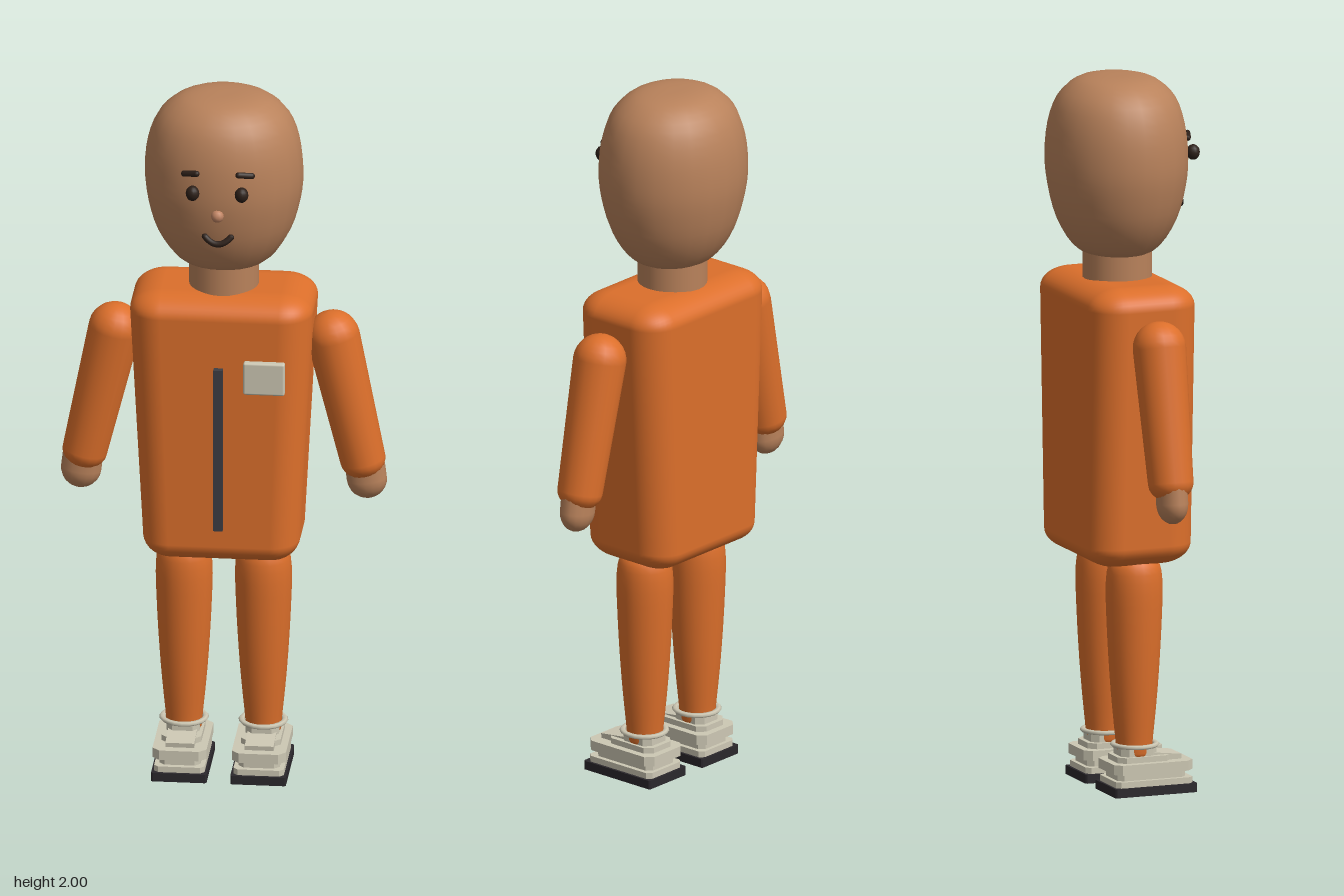
import * as THREE from 'three';
import { RoundedBoxGeometry } from 'three/addons/geometries/RoundedBoxGeometry.js';

const mat = (name, color) => {
  const m = new THREE.MeshStandardMaterial({ color });
  m.name = name;
  return m;
};

export function createModel() {
  const skin = mat('skin', 0xb9825b);
  const orange = mat('orange suit', 0xdc6f2b);
  const cream = mat('cream', 0xcdc8b4);
  const zip = mat('zip grey', 0x3d3d43);
  const rubber = mat('sole black', 0x2b282c);
  const dark = mat('dark brown', 0x2c1f18);
  const nosePink = mat('nose', 0xc08463);

  const model = new THREE.Group();
  model.name = 'figure';

  const add = (parent, name, geo, material, x = 0, y = 0, z = 0) => {
    const mesh = new THREE.Mesh(geo, material);
    mesh.name = name;
    mesh.position.set(x, y, z);
    parent.add(mesh);
    return mesh;
  };

  // Smooth lathe through [radius, height] points
  const lathe = (pts, divisions, sides) => {
    const curve = new THREE.SplineCurve(pts.map(([r, y]) => new THREE.Vector2(r, y)));
    const profile = curve.getPoints(divisions);
    profile.forEach((p) => { p.x = Math.max(p.x, 0); });
    return new THREE.LatheGeometry(profile, sides);
  };

  // Flat slab with chamfered corners in plan, from y0 to y1 and z0 to z1
  const slab = (halfW, z0, z1, y0, y1, c) => {
    const s = new THREE.Shape();
    s.moveTo(-halfW + c, -z1);
    s.lineTo(halfW - c, -z1);
    s.lineTo(halfW, -z1 + c);
    s.lineTo(halfW, -z0 - c);
    s.lineTo(halfW - c, -z0);
    s.lineTo(-halfW + c, -z0);
    s.lineTo(-halfW, -z0 - c);
    s.lineTo(-halfW, -z1 + c);
    s.closePath();
    return new THREE.ExtrudeGeometry(s, { depth: y1 - y0, bevelEnabled: false })
      .rotateX(-Math.PI / 2).translate(0, y0, 0);
  };

  // Head, flattened slightly front to back
  const head = add(model, 'head', lathe([
    [0, 1.495], [0.08, 1.498], [0.135, 1.525], [0.185, 1.6], [0.212, 1.69], [0.22, 1.77],
    [0.211, 1.86], [0.182, 1.935], [0.13, 1.982], [0.07, 1.998], [0, 2],
  ], 30, 24), skin, 0, 0, -0.013);
  head.scale.z = 0.89;
  add(model, 'neck', new THREE.CylinderGeometry(0.097, 0.097, 0.13, 24), skin, 0, 1.475, -0.01);

  // Face
  const face = new THREE.Group();
  face.name = 'face';
  model.add(face);
  for (const s of [-1, 1]) {
    const eye = add(face, 'eye', new THREE.SphereGeometry(0.019, 14, 10), dark, s * 0.068, 1.778, 0.188);
    eye.scale.y = 1.15;
    const brow = add(face, 'eyebrow', new THREE.CapsuleGeometry(0.009, 0.038, 4, 8).rotateZ(Math.PI / 2),
      dark, s * 0.076, 1.828, 0.168);
    brow.rotation.set(0, s * 0.35, -s * 0.16);
  }
  add(face, 'nose', new THREE.SphereGeometry(0.018, 12, 8), nosePink, 0, 1.708, 0.178);
  const smile = new THREE.QuadraticBezierCurve3(
    new THREE.Vector3(-0.036, 1.64, 0.163),
    new THREE.Vector3(0, 1.603, 0.182),
    new THREE.Vector3(0.036, 1.64, 0.163));
  add(face, 'mouth', new THREE.TubeGeometry(smile, 14, 0.009, 8), dark);
  for (const p of [smile.v0, smile.v2]) {
    add(face, 'mouthCorner', new THREE.SphereGeometry(0.009, 8, 6), dark, p.x, p.y, p.z);
  }

  // Torso: rounded block narrowing towards the hips
  const torso = new RoundedBoxGeometry(0.51, 1.2, 0.312, 5, 0.09).scale(1, 0.79 / 1.2, 1);
  const pos = torso.attributes.position;
  for (let i = 0; i < pos.count; i++) {
    const t = pos.getY(i) / 0.79 + 0.5;
    pos.setX(i, pos.getX(i) * (0.84 + 0.16 * Math.min(1, t * 1.05)));
  }
  add(model, 'torso', torso, orange, 0, 1.04, -0.01);
  add(model, 'zip', new THREE.BoxGeometry(0.026, 0.48, 0.024), zip, 0, 1.0, 0.153);
  add(model, 'chestPatch', new RoundedBoxGeometry(0.115, 0.095, 0.024, 2, 0.006), cream, 0.127, 1.217, 0.152);

  for (const s of [-1, 1]) {
    // Arm: tapered sleeve with round ends, hand at its tip
    const arm = new THREE.Group();
    arm.name = s > 0 ? 'leftArm' : 'rightArm';
    arm.position.set(s * 0.303, 1.285, -0.008);
    arm.rotation.z = s * 0.222;
    model.add(arm);
    const sleeve = [];
    for (let i = 0; i <= 6; i++) {
      const a = (i / 6) * Math.PI / 2;
      sleeve.push(new THREE.Vector2(Math.sin(a) * 0.063, -0.375 - Math.cos(a) * 0.05));
    }
    for (let i = 0; i <= 7; i++) {
      const a = (i / 7) * Math.PI / 2;
      sleeve.push(new THREE.Vector2(Math.max(0, Math.cos(a) * 0.074), Math.sin(a) * 0.074));
    }
    add(arm, 'sleeve', new THREE.LatheGeometry(sleeve, 18), orange);
    const hand = add(arm, 'hand', new THREE.CapsuleGeometry(0.056, 0.04, 6, 16), skin, 0, -0.412, 0);
    hand.scale.z = 0.76;
    hand.rotation.z = -s * 0.1;

    // Leg
    const leg = new THREE.Group();
    leg.name = s > 0 ? 'leftLeg' : 'rightLeg';
    leg.position.x = s * 0.11;
    model.add(leg);
    add(leg, 'trouser', lathe([
      [0, 0.1], [0.044, 0.1], [0.052, 0.15], [0.066, 0.3], [0.076, 0.47],
      [0.078, 0.6], [0.06, 0.655], [0, 0.675],
    ], 24, 20), orange, 0, 0, -0.005);

    // Shoe: stacked slabs from sole to ankle
    add(leg, 'sole', slab(0.077, -0.09, 0.153, 0, 0.025, 0.004), rubber);
    add(leg, 'midsole', slab(0.07, -0.083, 0.145, 0.025, 0.042, 0.012), cream);
    add(leg, 'shoeWaist', slab(0.057, -0.072, 0.13, 0.042, 0.062, 0.015), cream);
    add(leg, 'shoeBand', slab(0.075, -0.088, 0.146, 0.062, 0.09, 0.02), cream);
    add(leg, 'shoeUpper', slab(0.055, -0.068, 0.09, 0.09, 0.106, 0.02), cream);
    add(leg, 'shoeAnkle', slab(0.046, -0.055, 0.05, 0.106, 0.13, 0.018), cream);
    const tongue = add(leg, 'tongue', new THREE.BoxGeometry(0.08, 0.018, 0.11), cream, 0, 0.101, 0.065);
    tongue.rotation.x = 0.12;
    const collar = add(leg, 'collar', new THREE.TorusGeometry(0.06, 0.009, 6, 20).rotateX(Math.PI / 2),
      cream, 0, 0.134, -0.003);
    collar.scale.y = 0.7;
  }
  return model;
}
